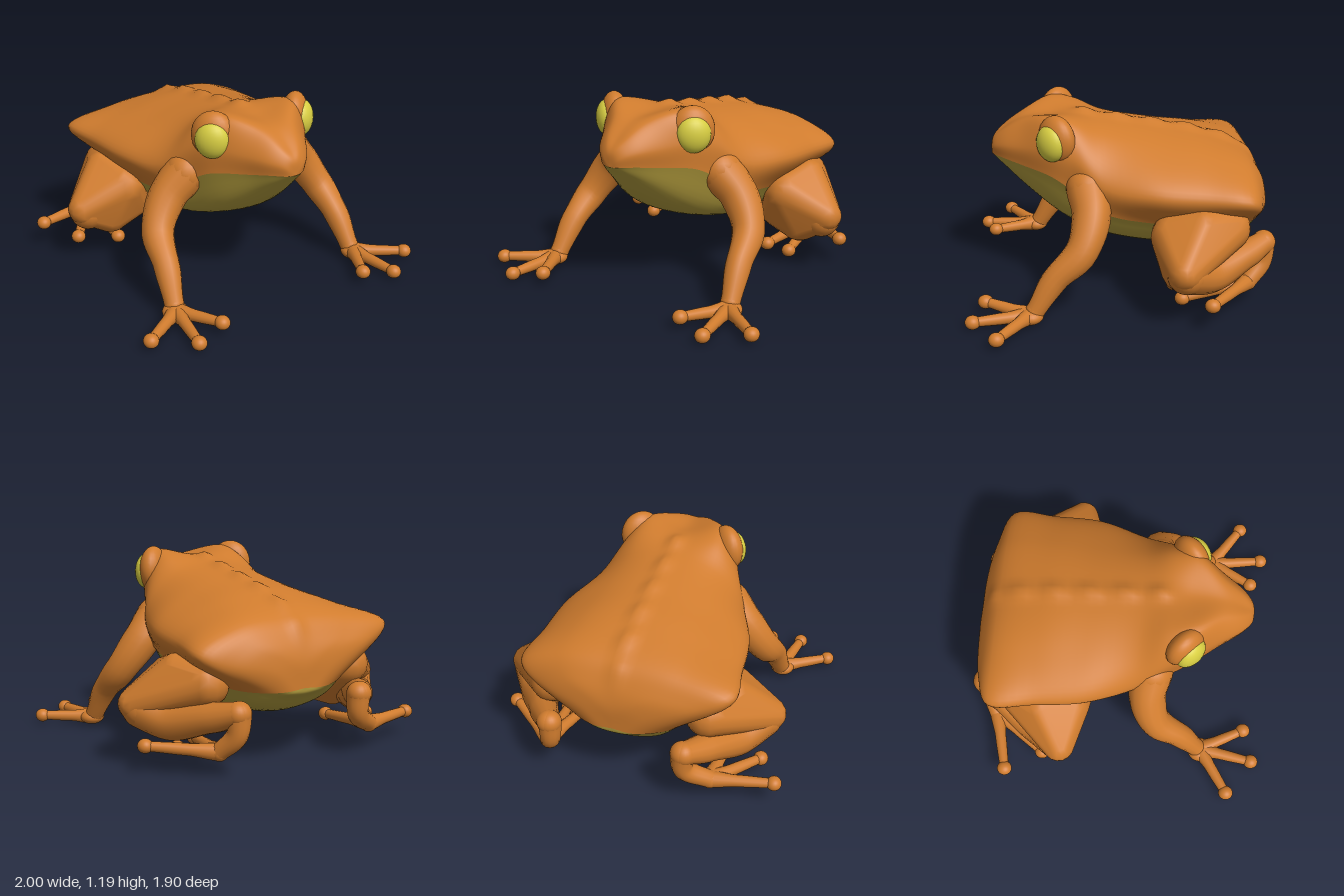
import * as THREE from 'three';
import { mergeVertices } from 'three/addons/utils/BufferGeometryUtils.js';
import { ConvexGeometry } from 'three/addons/geometries/ConvexGeometry.js';

const skin = new THREE.MeshStandardMaterial({ color: 0xd07c2e });
skin.name = 'orange skin';
const bellySkin = new THREE.MeshStandardMaterial({ color: 0xb09a3c });
bellySkin.name = 'olive belly';
const eyeYellow = new THREE.MeshStandardMaterial({ color: 0xd8ce42 });
eyeYellow.name = 'yellow eye';

// Body sections: z, spine y, back x y, edge x y, belly line x y, flank x y, keel y
const SECTIONS = [
  [0.80, 0.868, 0, 0.868, 0, 0.868, 0, 0.868, 0, 0.868, 0.868],
  [0.79, 0.96, 0.03, 0.955, 0.06, 0.92, 0.05, 0.87, 0.03, 0.862, 0.86],
  [0.73, 1.02, 0.07, 1.02, 0.13, 0.95, 0.12, 0.87, 0.08, 0.82, 0.80],
  [0.60, 1.10, 0.13, 1.10, 0.22, 0.97, 0.21, 0.85, 0.15, 0.73, 0.66],
  [0.42, 1.12, 0.25, 1.16, 0.34, 0.99, 0.34, 0.82, 0.23, 0.59, 0.52],
  [0.28, 1.13, 0.27, 1.13, 0.40, 0.95, 0.40, 0.74, 0.28, 0.51, 0.445],
  [0.10, 1.10, 0.28, 1.04, 0.50, 0.80, 0.46, 0.62, 0.34, 0.45, 0.38],
  [-0.20, 1.05, 0.32, 0.98, 0.61, 0.78, 0.48, 0.56, 0.34, 0.39, 0.30],
  [-0.50, 0.995, 0.35, 0.94, 0.64, 0.77, 0.45, 0.52, 0.30, 0.36, 0.27],
  [-0.78, 0.89, 0.36, 0.87, 0.66, 0.76, 0.36, 0.50, 0.24, 0.40, 0.35],
  [-0.87, 0.78, 0.30, 0.77, 0.47, 0.69, 0.24, 0.49, 0.15, 0.45, 0.43],
  [-0.915, 0.66, 0.12, 0.66, 0.20, 0.61, 0.12, 0.49, 0.08, 0.475, 0.47],
  [-0.92, 0.50, 0, 0.50, 0, 0.50, 0, 0.50, 0, 0.50, 0.50],
];

// Smooth surface through rows of control points
function loft(rows, nu, nv) {
  const rails = rows[0].map((_, k) => new THREE.CatmullRomCurve3(rows.map(r => r[k])));
  const pos = [], index = [];
  for (let i = 0; i <= nu; i++) {
    const rib = new THREE.CatmullRomCurve3(rails.map(c => c.getPoint(i / nu)));
    for (let j = 0; j <= nv; j++) pos.push(...rib.getPoint(j / nv).toArray());
  }
  for (let i = 0; i < nu; i++) {
    for (let j = 0; j < nv; j++) {
      const a = i * (nv + 1) + j, b = a + nv + 1;
      index.push(a, b, a + 1, b, b + 1, a + 1);
    }
  }
  const g = new THREE.BufferGeometry();
  g.setAttribute('position', new THREE.Float32BufferAttribute(pos, 3));
  g.setIndex(index);
  g.computeVertexNormals();
  return g;
}

// Knobbly ridge raised along the middle of the back
function raiseSpine(g) {
  const p = g.attributes.position;
  for (let i = 0; i < p.count; i++) {
    const x = p.getX(i), z = p.getZ(i);
    const ends = THREE.MathUtils.smoothstep(z, -0.92, -0.8) * (1 - THREE.MathUtils.smoothstep(z, 0.2, 0.4));
    const height = 0.022 + 0.012 * Math.cos(z * 29);
    p.setY(i, p.getY(i) + height * ends * Math.exp(-((x / 0.045) ** 2)));
  }
  g.computeVertexNormals();
  return g;
}

function add(parent, name, geometry, material) {
  const m = new THREE.Mesh(geometry, material);
  m.name = name;
  parent.add(m);
  return m;
}

function ball(parent, name, p, r, material = skin) {
  const m = add(parent, name, new THREE.SphereGeometry(1, 24, 16), material);
  m.position.set(...p);
  m.scale.set(...r);
  return m;
}

// Rounded mass wrapped tightly around balls [x, y, z, radius]
function hull(balls) {
  const points = [];
  for (const [x, y, z, r] of balls) {
    const p = new THREE.SphereGeometry(r, 16, 10).translate(x, y, z).attributes.position;
    for (let i = 0; i < p.count; i++) points.push(new THREE.Vector3().fromBufferAttribute(p, i));
  }
  const g = new ConvexGeometry(points);
  g.deleteAttribute('normal');
  const smooth = mergeVertices(g, 1e-4);
  smooth.computeVertexNormals();
  return smooth;
}

// Tapered limb through points [x, y, z, radius], with rounded ends
function limb(parent, name, pts) {
  const curve = new THREE.CatmullRomCurve3(pts.map(p => new THREE.Vector3(p[0], p[1], p[2])));
  const n = 24, sides = 14;
  const g = new THREE.TubeGeometry(curve, n, 1, sides);
  const pos = g.attributes.position, nor = g.attributes.normal;
  for (let i = 0; i <= n; i++) {
    const c = curve.getPointAt(i / n);
    const t = curve.getUtoTmapping(i / n) * (pts.length - 1);
    const k = Math.min(Math.floor(t), pts.length - 2);
    const r = THREE.MathUtils.lerp(pts[k][3], pts[k + 1][3], THREE.MathUtils.smoothstep(t - k, 0, 1));
    for (let j = 0; j <= sides; j++) {
      const v = i * (sides + 1) + j;
      pos.setXYZ(v, c.x + nor.getX(v) * r, c.y + nor.getY(v) * r, c.z + nor.getZ(v) * r);
    }
  }
  add(parent, name, g, skin);
  for (const p of [pts[0], pts[pts.length - 1]]) {
    ball(parent, name + 'End', p.slice(0, 3), [p[3], p[3], p[3]]);
  }
}

// Slim digits with round pads
function digits(parent, name, root, tips) {
  for (const tip of tips) {
    const mid = root.map((c, i) => c * 0.55 + tip[i] * 0.45);
    limb(parent, name, [[...root, 0.052], [...mid, 0.036], [...tip, 0.03]]);
    ball(parent, name + 'Pad', tip, [0.046, 0.043, 0.048]);
  }
}

export function createModel() {
  const frog = new THREE.Group();
  frog.name = 'frog';

  // Back and head, leaning slightly to the right at the rump, then the belly
  const V = (x, y, z) => new THREE.Vector3(x, y, z);
  add(frog, 'back', raiseSpine(loft(SECTIONS.map(([z, ty, sx, sy, wx, wy, bx, by]) => {
    const lean = wx > 0.4 ? THREE.MathUtils.clamp(-z / 0.8, 0, 1) * 0.03 : 0;
    return [V(bx, by, z), V(wx - lean, wy - lean, z), V(sx, sy, z), V(0, ty, z),
      V(-sx, sy, z), V(-wx - lean, wy + lean, z), V(-bx, by, z)];
  }), 72, 60)), skin);
  add(frog, 'belly', loft(SECTIONS.map(([z, , , , , , bx, by, mx, my, ky]) => [
    V(-bx, by, z), V(-mx, my, z), V(0, ky, z), V(mx, my, z), V(bx, by, z)]), 72, 24), bellySkin);

  for (const side of [1, -1]) {
    const half = new THREE.Group();
    half.name = side > 0 ? 'leftSide' : 'rightSide';
    half.scale.x = side;
    frog.add(half);

    // Eye set in a raised socket
    ball(half, 'eyeSocket', [0.295, 1.045, 0.385], [0.135, 0.148, 0.085]).rotation.y = 0.78;
    ball(half, 'eye', [0.327, 1.03, 0.42], [0.105, 0.113, 0.07], eyeYellow).rotation.y = 0.78;

    // Front leg and hand
    limb(half, 'frontLeg', [[0.37, 0.76, 0.2, 0.135], [0.5, 0.62, 0.185, 0.118],
      [0.61, 0.44, 0.25, 0.1], [0.645, 0.28, 0.41, 0.08], [0.67, 0.09, 0.53, 0.06]]);
    ball(half, 'palm', [0.68, 0.06, 0.56], [0.08, 0.05, 0.08]);
    digits(half, 'finger', [0.675, 0.06, 0.56],
      [[0.955, 0.06, 0.75], [0.73, 0.05, 0.905], [0.53, 0.08, 0.84]]);

    // Folded hind leg: broad wedge of a thigh, with the shin tucked under it
    add(half, 'thigh', hull([[0.81, 0.39, -0.355, 0.1], [0.54, 0.5, -0.31, 0.14],
      [0.5, 0.53, -0.64, 0.14], [0.62, 0.31, -0.36, 0.13], [0.6, 0.57, -0.48, 0.12],
      [0.46, 0.36, -0.36, 0.12]]), skin);
    limb(half, 'shin', [[0.77, 0.36, -0.37, 0.12], [0.66, 0.31, -0.52, 0.12],
      [0.52, 0.36, -0.75, 0.09], [0.43, 0.4, -0.88, 0.072]]);
    // The right foot is turned further out
    const root = side > 0 ? [0.49, 0.16, -0.78] : [0.57, 0.17, -0.8];
    limb(half, 'hindFoot', [[0.42, 0.4, -0.88, 0.072], [0.43, 0.27, -0.87, 0.064], [...root, 0.055]]);
    digits(half, 'toe', root, side > 0
      ? [[0.40, 0.11, -0.33], [0.54, 0.08, -0.37], [0.83, 0.18, -0.52]]
      : [[0.57, 0.12, -0.36], [0.8, 0.13, -0.48], [0.94, 0.17, -0.71]]);
  }
  return frog;
}
